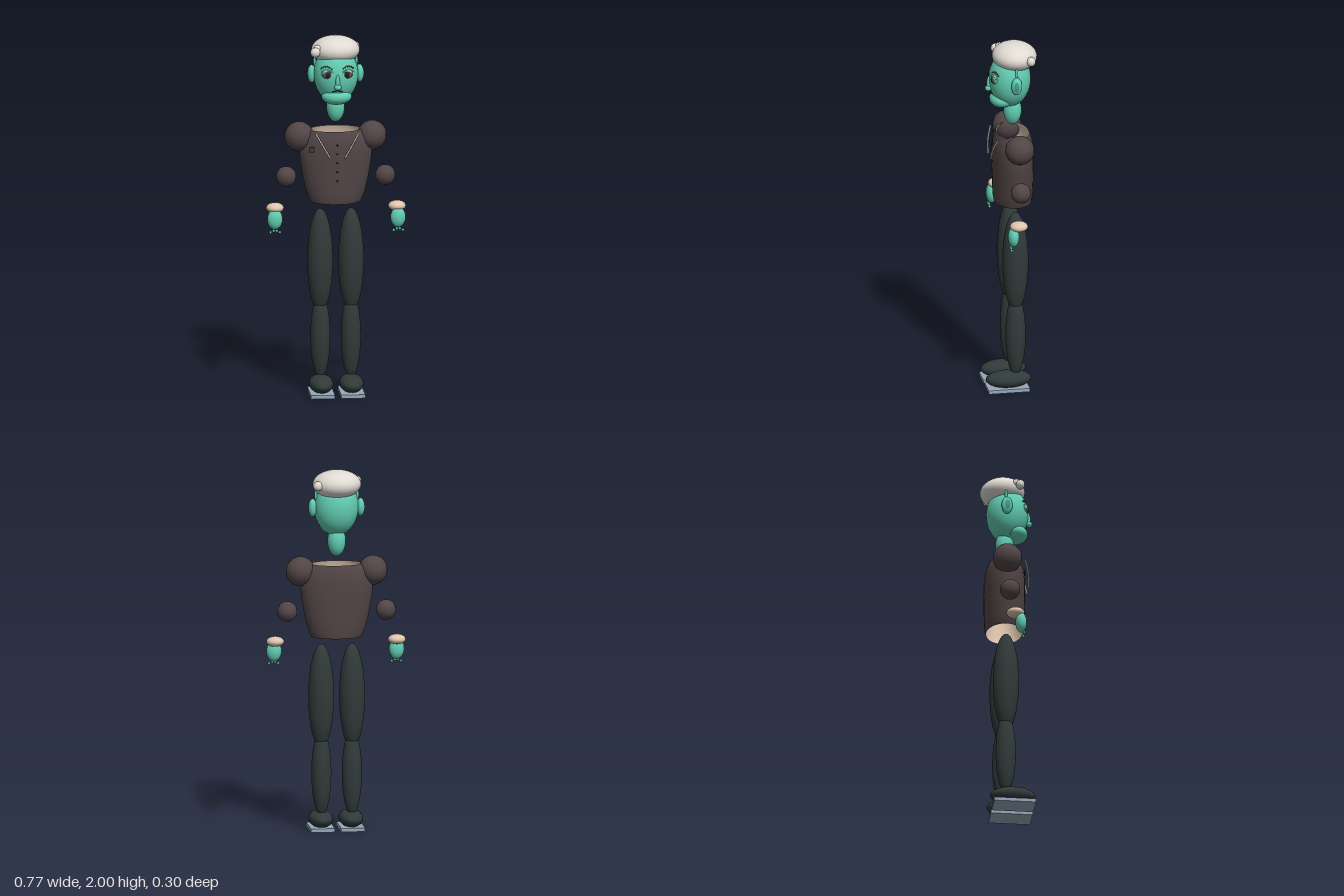
import * as THREE from 'three';

const mat = (name, color, side = THREE.FrontSide) => {
  const m = new THREE.MeshStandardMaterial({ color, side });
  m.name = name;
  return m;
};

export function createModel() {
  const model = new THREE.Group();
  model.name = 'figure';
  const skin = mat('green skin', 0x62ceb2);
  const shadeSkin = mat('deep green skin', 0x469c88);
  const jacket = mat('brown jacket', 0x524546);
  const beige = mat('beige cloth', 0xe0c5ae, THREE.DoubleSide);
  const trousers = mat('dark trousers', 0x303b39);
  const hairMat = mat('pale hair', 0xdfdbd3);
  const soleMat = mat('grey sole', 0x96a8bb);
  const dark = mat('near black', 0x1c2226);
  const browMat = mat('reddish brown', 0x7c4a47);

  const add = (name, geo, m, x, y, z) => {
    const mesh = new THREE.Mesh(geo, m);
    mesh.name = name;
    mesh.position.set(x, y, z);
    model.add(mesh);
    return mesh;
  };
  // Ellipsoid with its centre and three radii
  const ball = (name, m, [x, y, z], [rx, ry, rz], seg = 24) =>
    add(name, new THREE.SphereGeometry(1, seg, Math.round(seg * 0.7)).scale(rx, ry, rz), m, x, y, z);
  const bead = (name, m, x, y, z, r) => ball(name, m, [x, y, z], [r, r, r], 8);
  const tube = (name, m, pts, r) => add(name, new THREE.TubeGeometry(
    new THREE.CatmullRomCurve3(pts.map(p => new THREE.Vector3(...p))), 14, r, 6), m, 0, 0, 0);

  // Head and neck
  ball('head', skin, [0, 1.79, 0], [0.122, 0.157, 0.115], 32);
  ball('neck', skin, [0, 1.605, -0.015], [0.05, 0.085, 0.05]);
  ball('chin', skin, [0, 1.675, 0.047], [0.083, 0.046, 0.066]);
  ball('hair', hairMat, [0, 1.921, -0.026], [0.133, 0.078, 0.123], 32).rotation.x = -0.02;
  ball('hairCurl', hairMat, [-0.118, 1.925, 0.06], [0.027, 0.027, 0.024], 16);
  ball('hairCurl', hairMat, [-0.105, 1.94, 0.04], [0.022, 0.022, 0.022], 16);
  ball('hairCurl', hairMat, [0.112, 1.922, -0.098], [0.027, 0.027, 0.025], 16);

  // Face
  ball('noseBridge', skin, [0, 1.765, 0.115], [0.012, 0.045, 0.014], 16);
  ball('noseTip', skin, [0, 1.74, 0.12], [0.02, 0.017, 0.018], 16);
  tube('mouth', dark, [[-0.03, 1.711, 0.1], [0, 1.717, 0.105], [0.03, 1.711, 0.1]], 0.0028);

  for (const s of [-1, 1]) {
    ball('ear', skin, [s * 0.132, 1.79, -0.015], [0.023, 0.05, 0.03]);
    ball('innerEar', shadeSkin, [s * 0.145, 1.79, -0.014], [0.011, 0.034, 0.019], 14);
    ball('earTop', skin, [s * 0.115, 1.86, -0.018], [0.008, 0.035, 0.008], 10);
    ball('eyelid', skin, [s * 0.054, 1.811, 0.092], [0.033, 0.027, 0.016], 16);
    ball('eye', browMat, [s * 0.054, 1.807, 0.1], [0.028, 0.021, 0.011], 16);
    ball('pupil', dark, [s * 0.053, 1.807, 0.106], [0.015, 0.016, 0.009], 14);
    for (let i = 0; i < 6; i++) {
      const t = i / 5, arch = Math.sin(Math.PI * t);
      bead('eyebrow', browMat, s * (0.032 + 0.055 * t), 1.84 + 0.012 * arch, 0.102 - 0.022 * t, 0.005);
      bead('lidFold', skin, s * (0.03 + 0.052 * t), 1.823 + 0.008 * arch, 0.105 - 0.013 * t, 0.006);
    }

    // Arms
    ball('shoulder', jacket, [s * 0.2, 1.44, -0.02], [0.081, 0.081, 0.081], 16);
    ball('elbow', jacket, [s * 0.272, 1.217, -0.013], [0.056, 0.056, 0.056], 16);
    ball('cuff', beige, [s * 0.335, 1.048, 0.01], [0.049, 0.028, 0.05], 20);
    ball('hand', skin, [s * 0.338, 0.99, 0.04], [0.042, 0.057, 0.031], 20);
    for (let i = 0; i < 4; i++) {
      const end = i === 0 || i === 3;
      bead('finger', skin, s * 0.338 + (i - 1.5) * 0.017, end ? 0.92 : 0.928, 0.055, 0.008);
    }

    // Legs and shoes
    ball('thigh', trousers, [s * 0.085, 0.745, -0.016], [0.071, 0.29, 0.072]);
    ball('shin', trousers, [s * 0.084, 0.318, -0.017], [0.055, 0.24, 0.056]);
    ball('shoe', trousers, [s * 0.083, 0.06, 0.022], [0.067, 0.048, 0.126]);
    add('sole', new THREE.BoxGeometry(0.132, 0.02, 0.23), soleMat, s * 0.083, 0.01, 0.028);

    // Pale lapel edging
    tube('lapelEdge', hairMat,
      [[s * 0.118, 1.475, 0.086], [s * 0.079, 1.408, 0.107], [s * 0.04, 1.34, 0.113]], 0.005);
  }

  // Open torso shell: height, half width, half depth
  const rings = [[1.075, 0.138, 0.102], [1.09, 0.146, 0.106], [1.13, 0.161, 0.109], [1.2, 0.178, 0.111],
    [1.3, 0.195, 0.112], [1.38, 0.202, 0.111], [1.44, 0.185, 0.104], [1.48, 0.145, 0.09]];
  const n = 32;
  const torsoShell = (inset) => {
    const shell = new THREE.CylinderGeometry(1, 1, 1, n, rings.length - 1, true);
    const p = shell.attributes.position;
    for (let i = 0; i < p.count; i++) {
      const [y, rx, rz] = rings[rings.length - 1 - Math.floor(i / (n + 1))];
      p.setXYZ(i, p.getX(i) * (rx - inset), y, p.getZ(i) * (rz - inset));
    }
    shell.computeVertexNormals();
    return shell;
  };
  add('torso', torsoShell(0), jacket, 0, 0, -0.016);
  add('torsoLining', torsoShell(0.002), beige, 0, 0, -0.016);

  // Buttons and chest badge
  for (let i = 0; i < 5; i++) bead('button', dark, 0, 1.41 - i * 0.05, 0.096, 0.005);
  add('badge', new THREE.BoxGeometry(0.028, 0.028, 0.008), trousers, -0.14, 1.385, 0.083);

  return model;
}
